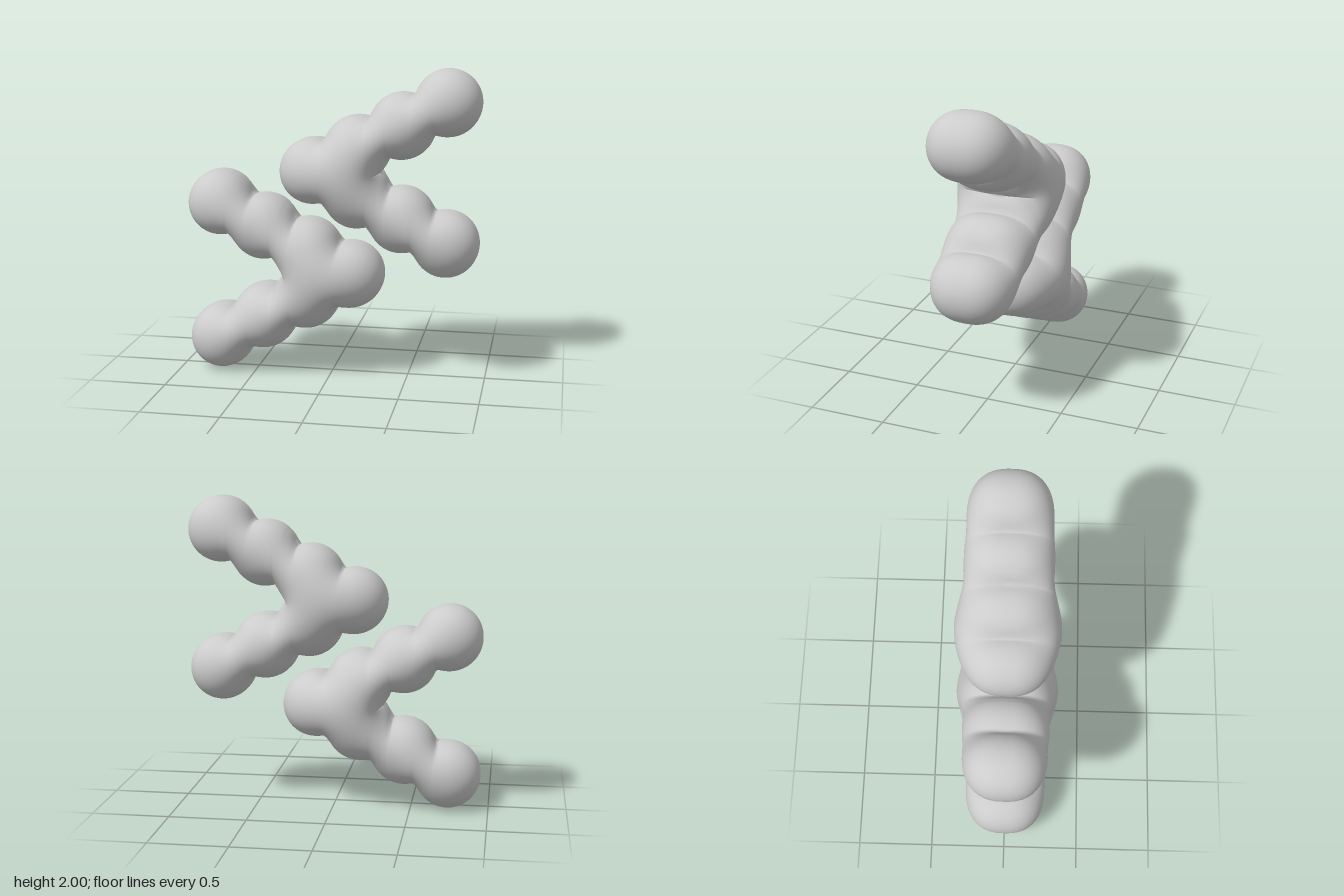
import * as THREE from 'three';
import { mergeVertices } from 'three/addons/utils/BufferGeometryUtils.js';

const R = 0.2125;                // ball radius seen from the front
const COLS = 128, ROWS = 26;
const TIP_DEPTH = 0.262, APEX_DEPTH = 0.338; // half thickness at both ends of an arm

// Balls of one arm, from the tip to the apex (the apex lies on the mirror line)
const balls = [0, 1, 2, 3].map(i => [0.735 - i * 0.2867, 0.45 - i * 0.15]);
const [tip, , elbow, apex] = balls;
const crotch = elbow[0] + Math.sqrt(R * R - elbow[1] ** 2); // inner corner of the chevron

// Upper and lower edge of the upper arm at x, cut at the mirror line
function edges(x) {
  let top = 0, bottom = Infinity;
  for (const [cx, cy] of balls) {
    const d = R * R - (x - cx) ** 2;
    if (d < -1e-12) continue;
    const h = Math.sqrt(Math.max(0, d));
    top = Math.max(top, cy + h);
    bottom = Math.min(bottom, cy - h);
  }
  return [top, Math.max(0, bottom)];
}

// Column positions, dense at the round ends, one of them exactly at the crotch
function columns() {
  const x0 = apex[0] - R, x1 = tip[0] + R;
  const xs = Array.from({ length: COLS + 1 },
    (_, i) => x0 + (x1 - x0) * (1 - Math.cos(Math.PI * i / COLS)) / 2);
  const near = xs.reduce((best, x, i) => Math.abs(x - crotch) < Math.abs(xs[best] - crotch) ? i : best, 0);
  xs[near] = crotch;
  return xs;
}

// Flat sheet of the upper arm; outline points are marked as fixed
function flatSheet() {
  const nodes = [], tris = [];
  columns().forEach((x, i) => {
    const [top, bottom] = edges(x);
    for (let j = 0; j <= ROWS; j++) {
      const y = top + (bottom - top) * (1 - Math.cos(Math.PI * j / ROWS)) / 2;
      const fixed = i === 0 || i === COLS || j === 0 || (j === ROWS && x > crotch - 1e-9);
      nodes.push({ x, y, fixed });
      if (i < COLS && j < ROWS) {
        const a = i * (ROWS + 1) + j, b = a + 1, c = a + ROWS + 1, d = c + 1;
        tris.push([a, b, c], [b, d, c]);
      }
    }
  });
  return { nodes, tris };
}

// Height of a soap film blown up over the sheet (conjugate gradients on cotangent weights)
function inflate({ nodes, tris }) {
  const n = nodes.length, links = [];
  const diag = new Float64Array(n), r = new Float64Array(n), u = new Float64Array(n);
  for (const t of tris) {
    const [a, b, c] = t.map(k => nodes[k]);
    const area2 = Math.abs((b.x - a.x) * (c.y - a.y) - (b.y - a.y) * (c.x - a.x));
    if (area2 < 1e-12) continue;
    for (let k = 0; k < 3; k++) {
      const o = t[k], p = t[(k + 1) % 3], q = t[(k + 2) % 3];
      const O = nodes[o], P = nodes[p], Q = nodes[q];
      const w = ((P.x - O.x) * (Q.x - O.x) + (P.y - O.y) * (Q.y - O.y)) / (2 * area2);
      links.push([p, q, w]);
      diag[p] += w;
      diag[q] += w;
      r[o] += 4 * area2 / 6;
    }
  }
  const free = nodes.map((v, i) => !v.fixed && diag[i] > 0);
  const precondition = v => v.map((s, i) => free[i] ? s / diag[i] : 0);
  const dot = (a, b) => a.reduce((s, v, i) => s + v * b[i], 0);
  let z = precondition(r), p = z.slice(), rz = dot(r, z);
  const stop = rz * 1e-14;
  for (let step = 0; step < 1500 && rz > stop; step++) {
    const Ap = new Float64Array(n);
    for (const [i, j, w] of links) {
      const f = w * (p[i] - p[j]);
      Ap[i] += f;
      Ap[j] -= f;
    }
    const alpha = rz / dot(p, Ap);
    for (let i = 0; i < n; i++) {
      if (!free[i]) continue;
      u[i] += alpha * p[i];
      r[i] -= alpha * Ap[i];
    }
    z = precondition(r);
    const next = dot(r, z), beta = next / rz;
    p = z.map((v, i) => v + beta * p[i]);
    rz = next;
  }
  return u;
}

// Four mirrored sheets (front/back, upper/lower arm) welded into one skin
function chevronGeometry() {
  const sheet = flatSheet(), { nodes, tris } = sheet;
  const u = inflate(sheet);
  // Round the film so that tip and apex get their thickness
  const uApex = Math.max(...u);
  const uTip = Math.max(...u.filter((_, i) => Math.abs(nodes[i].x - tip[0]) < 0.01));
  const power = THREE.MathUtils.clamp(
    Math.log(APEX_DEPTH / TIP_DEPTH) / Math.log(uApex / uTip), 0.4, 0.55);

  const pos = [], index = [];
  for (const side of [1, -1]) for (const half of [1, -1]) {
    const base = pos.length / 3;
    nodes.forEach(({ x, y }, i) => {
      pos.push(x, half * y, side * APEX_DEPTH * Math.max(0, u[i] / uApex) ** power);
    });
    for (const [a, b, c] of tris) {
      if (side * half > 0) index.push(base + a, base + b, base + c);
      else index.push(base + a, base + c, base + b);
    }
  }
  const geo = new THREE.BufferGeometry();
  geo.setAttribute('position', new THREE.Float32BufferAttribute(pos, 3));
  geo.setIndex(index);
  const welded = mergeVertices(geo, 1e-4);
  welded.computeVertexNormals();
  return welded;
}

export function createModel() {
  const group = new THREE.Group();
  const material = new THREE.MeshStandardMaterial({ color: 0xcccccc });
  const geometry = chevronGeometry();

  // Upper chevron opens to +x
  const upper = new THREE.Mesh(geometry, material);
  upper.name = 'upperChevron';
  upper.position.y = 1.3375;

  // Lower chevron is the same body turned half way round
  const lower = new THREE.Mesh(geometry, material);
  lower.name = 'lowerChevron';
  lower.position.y = 0.6625;
  lower.rotation.z = Math.PI;

  group.add(upper, lower);
  return group;
}
